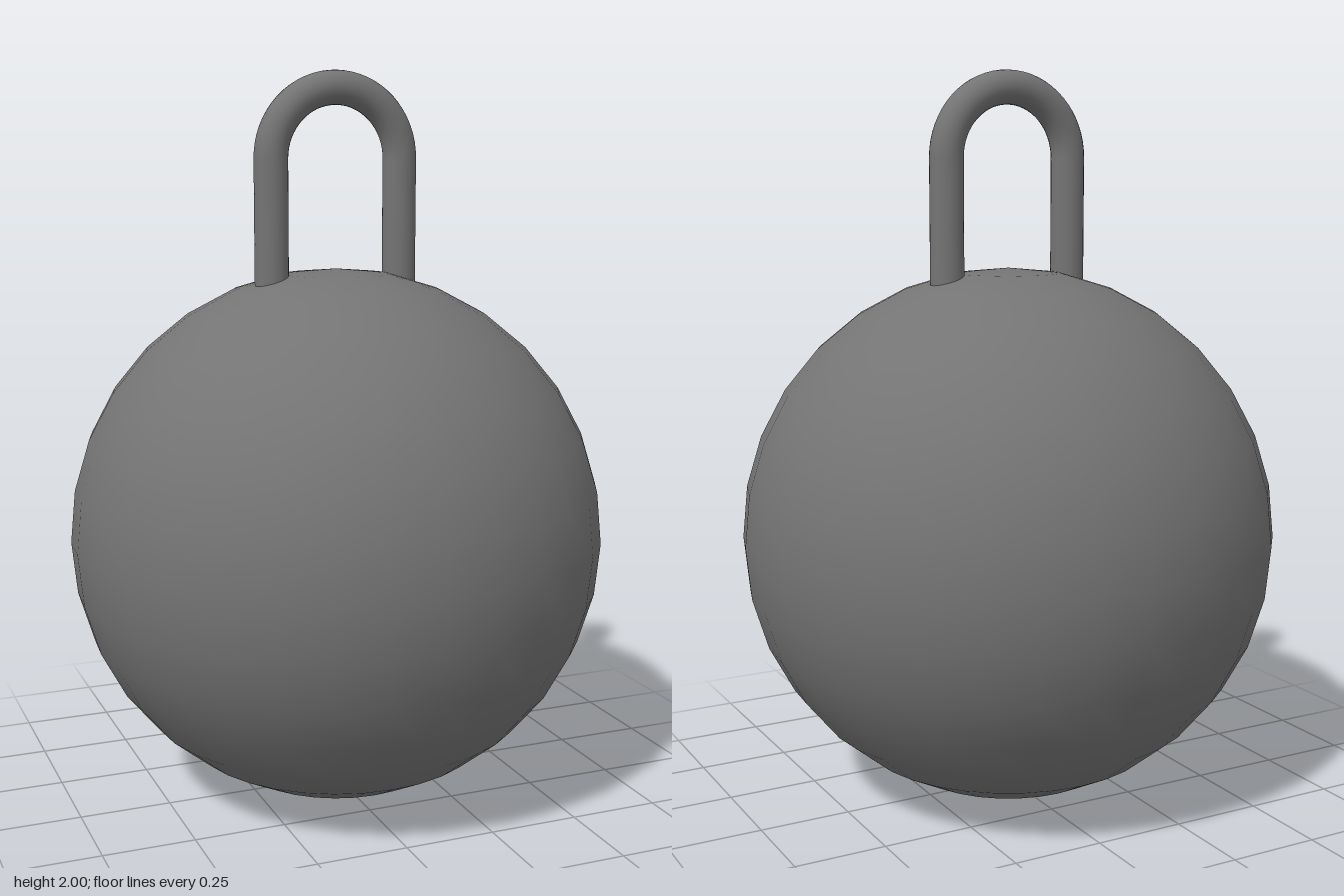
import * as THREE from 'three';

const BALL_RADIUS = 0.736;
const ROD_RADIUS = 0.046;
const BEND_RADIUS = 0.186;
const BEND_Y = 2 - BEND_RADIUS - ROD_RADIUS;
const LEG_BOTTOM = 1.34; // buried inside the ball

export function createModel() {
  const group = new THREE.Group();
  const material = new THREE.MeshStandardMaterial({ color: 0x747474 }); // dark iron

  const addPart = (name, geometry, parent, x, y) => {
    const mesh = new THREE.Mesh(geometry, material);
    mesh.name = name;
    mesh.position.set(x, y, 0);
    parent.add(mesh);
  };

  // Heavy round ball resting on the ground
  addPart('ball', new THREE.SphereGeometry(BALL_RADIUS, 32, 16), group, 0, BALL_RADIUS);

  // U-shaped shackle: half-ring bend on two straight legs
  const shackle = new THREE.Group();
  shackle.name = 'shackle';
  group.add(shackle);
  addPart('shackleBend', new THREE.TorusGeometry(BEND_RADIUS, ROD_RADIUS, 24, 32, Math.PI), shackle, 0, BEND_Y);

  const legLength = BEND_Y - LEG_BOTTOM;
  for (const [name, side] of [['leftLeg', 1], ['rightLeg', -1]]) {
    const leg = new THREE.CylinderGeometry(ROD_RADIUS, ROD_RADIUS, legLength, 24, 1, true);
    leg.rotateY(Math.PI / 2); // line the sides up with the bend
    addPart(name, leg, shackle, side * BEND_RADIUS, LEG_BOTTOM + legLength / 2);
  }

  return group;
}
